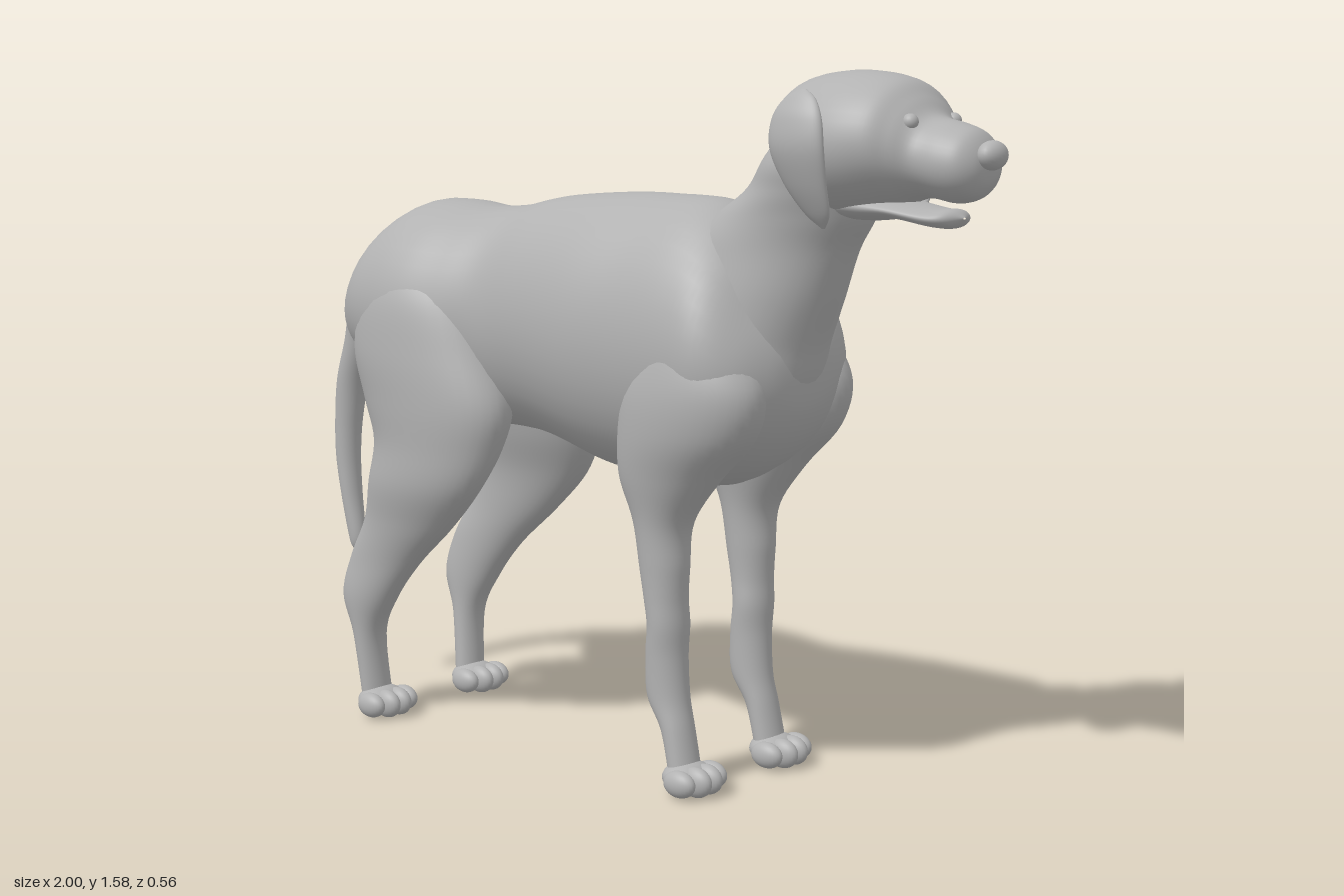
import * as THREE from 'three';

const coat = new THREE.MeshStandardMaterial({ color: 0xb2b2b2 });
coat.name = 'grey coat';

const RADIAL = 40, STEPS = 6;

// Smooth curve through four neighbouring values
function spline(a, b, c, d, t) {
  return 0.5 * (2 * b + (c - a) * t + (2 * a - 5 * b + 4 * c - d) * t * t + (3 * b - a - 3 * c + d) * t * t * t);
}

// Skin of elliptical rings. Each row is [position, low, high, zCentre, zHalfWidth].
// axis 'x': rings stand upright, listed back to front. axis 'y': rings lie flat, listed downward.
function loft(name, axis, rows, side = 1) {
  const pos = [], index = [], last = rows.length - 1, rings = last * STEPS;
  for (let i = 0; i <= rings; i++) {
    const k = Math.min(Math.floor(i / STEPS), last - 1), t = i / STEPS - k;
    const row = (n) => rows[Math.min(Math.max(n, 0), last)];
    const [p, lo, hi, z, w] = rows[0].map((_, c) => spline(row(k - 1)[c], row(k)[c], row(k + 1)[c], row(k + 2)[c], t));
    const mid = (lo + hi) / 2, r = Math.max(0, (hi - lo) / 2);
    for (let j = 0; j < RADIAL; j++) {
      const a = (j / RADIAL) * Math.PI * 2;
      const u = mid + r * Math.cos(a), v = z * side + Math.max(0, w) * Math.sin(a);
      if (axis === 'x') pos.push(p, u, v);
      else pos.push(u, p, v);
      if (i < rings) {
        const q = i * RADIAL + j, n = i * RADIAL + (j + 1) % RADIAL;
        index.push(q, n, q + RADIAL, n, n + RADIAL, q + RADIAL);
      }
    }
  }
  const g = new THREE.BufferGeometry();
  g.setAttribute('position', new THREE.Float32BufferAttribute(pos, 3));
  g.setIndex(index);
  g.computeVertexNormals();
  const mesh = new THREE.Mesh(g, coat);
  mesh.name = name;
  return mesh;
}

function ellipsoid(name, x, y, z, rx, ry, rz) {
  const g = new THREE.SphereGeometry(1, 24, 16).scale(rx, ry, rz).translate(x, y, z);
  const mesh = new THREE.Mesh(g, coat);
  mesh.name = name;
  return mesh;
}

// Paw: a pad with four rounded toes
function paw(name, x, z) {
  const group = new THREE.Group();
  group.name = name;
  group.add(ellipsoid('pad', x - 0.015, 0.04, z, 0.052, 0.034, 0.062));
  for (let i = 0; i < 4; i++) {
    const o = i - 1.5, inner = Math.abs(o) < 1;
    group.add(ellipsoid('toe', x + (inner ? 0.025 : 0.008), 0.036, z + o * 0.036, 0.042, inner ? 0.034 : 0.03, 0.023));
  }
  return group;
}

export function createModel() {
  const dog = new THREE.Group();
  dog.name = 'dog';

  dog.add(loft('torso', 'x', [
    [-0.87, 0.96, 0.98, 0, 0.01], [-0.85, 0.92, 1.02, 0, 0.08], [-0.79, 0.865, 1.12, 0, 0.16],
    [-0.7, 0.82, 1.215, 0, 0.225], [-0.6, 0.77, 1.266, 0, 0.255], [-0.5, 0.74, 1.27, 0, 0.26],
    [-0.4, 0.74, 1.26, 0, 0.235], [-0.3, 0.74, 1.266, 0, 0.205], [-0.18, 0.728, 1.29, 0, 0.217],
    [0, 0.683, 1.305, 0, 0.243], [0.15, 0.668, 1.307, 0, 0.243], [0.3, 0.668, 1.295, 0, 0.25],
    [0.4, 0.71, 1.22, 0, 0.25], [0.47, 0.775, 1.1, 0, 0.2], [0.51, 0.85, 1.01, 0, 0.11],
    [0.52, 0.925, 0.93, 0, 0.005],
  ]));

  dog.add(loft('neck', 'y', [
    [1.5, 0.52, 0.66, 0, 0.09], [1.4, 0.44, 0.69, 0, 0.145], [1.33, 0.385, 0.685, 0, 0.142],
    [1.27, 0.29, 0.668, 0, 0.137], [1.2, 0.2, 0.627, 0, 0.142], [1.1, 0.15, 0.587, 0, 0.157],
    [1, 0.15, 0.545, 0, 0.165], [0.9, 0.2, 0.513, 0, 0.155], [0.8, 0.25, 0.44, 0, 0.09],
  ]));

  dog.add(loft('head', 'x', [
    [0.462, 1.44, 1.46, 0, 0.01], [0.485, 1.37, 1.515, 0, 0.095], [0.54, 1.31, 1.56, 0, 0.155],
    [0.62, 1.28, 1.577, 0, 0.18], [0.7, 1.285, 1.576, 0, 0.184], [0.77, 1.305, 1.56, 0, 0.165],
    [0.81, 1.317, 1.525, 0, 0.133], [0.845, 1.32, 1.488, 0, 0.103], [0.9, 1.312, 1.474, 0, 0.095],
    [0.94, 1.322, 1.458, 0, 0.08], [0.963, 1.35, 1.425, 0, 0.047], [0.97, 1.388, 1.392, 0, 0.003],
  ]));
  dog.add(loft('lowerJaw', 'x', [
    [0.62, 1.27, 1.34, 0, 0.08], [0.7, 1.27, 1.33, 0, 0.09], [0.77, 1.275, 1.315, 0, 0.085],
    [0.85, 1.262, 1.302, 0, 0.07], [0.89, 1.262, 1.3, 0, 0.05], [0.91, 1.28, 1.284, 0, 0.004],
  ]));
  dog.add(ellipsoid('nose', 0.973, 1.41, 0, 0.027, 0.03, 0.041));

  dog.add(loft('tail', 'y', [
    [1.08, -0.8, -0.76, 0, 0.03], [1.03, -0.865, -0.76, 0, 0.07], [0.98, -0.922, -0.79, 0, 0.066],
    [0.9, -0.95, -0.84, 0, 0.052], [0.8, -0.985, -0.9, 0, 0.042], [0.7, -0.998, -0.927, 0, 0.036],
    [0.6, -0.998, -0.937, 0, 0.033], [0.5, -0.982, -0.932, 0, 0.029], [0.4, -0.963, -0.917, 0, 0.022],
    [0.365, -0.952, -0.922, 0, 0.015], [0.353, -0.937, -0.933, 0, 0.002],
  ]));

  // Paired parts: left is the first side listed when facing along the nose
  for (const side of [-1, 1]) {
    const label = side < 0 ? 'left' : 'right';

    dog.add(loft(label + 'FrontLeg', 'y', [
      [1.12, 0.31, 0.34, 0.13, 0.015], [1.07, 0.25, 0.41, 0.135, 0.07], [1, 0.2, 0.46, 0.14, 0.1],
      [0.9, 0.15, 0.507, 0.15, 0.113], [0.8, 0.13, 0.48, 0.15, 0.11], [0.7, 0.13, 0.385, 0.15, 0.088],
      [0.6, 0.17, 0.31, 0.15, 0.065], [0.5, 0.187, 0.3, 0.15, 0.056], [0.43, 0.2, 0.296, 0.15, 0.052],
      [0.37, 0.208, 0.298, 0.148, 0.052], [0.3, 0.2, 0.296, 0.147, 0.048], [0.21, 0.203, 0.302, 0.146, 0.046],
      [0.14, 0.247, 0.316, 0.148, 0.043], [0.05, 0.272, 0.335, 0.15, 0.043],
    ], side));
    dog.add(paw(label + 'FrontPaw', 0.328, 0.152 * side));

    dog.add(loft(label + 'HindLeg', 'y', [
      [1.2, -0.56, -0.5, 0.11, 0.015], [1.14, -0.64, -0.42, 0.125, 0.08], [1.05, -0.7, -0.34, 0.14, 0.12],
      [0.92, -0.725, -0.28, 0.15, 0.127], [0.8, -0.688, -0.24, 0.16, 0.116], [0.7, -0.65, -0.262, 0.17, 0.1],
      [0.6, -0.662, -0.315, 0.185, 0.081], [0.5, -0.69, -0.41, 0.18, 0.062], [0.4, -0.748, -0.525, 0.175, 0.052],
      [0.3, -0.778, -0.612, 0.175, 0.05], [0.2, -0.742, -0.667, 0.17, 0.043], [0.05, -0.722, -0.663, 0.16, 0.042],
    ], side));
    dog.add(paw(label + 'HindPaw', -0.662, 0.16 * side));

    dog.add(loft(label + 'Ear', 'y', [
      [1.54, 0.635, 0.65, 0.187, 0.003], [1.52, 0.6, 0.68, 0.195, 0.012], [1.48, 0.578, 0.702, 0.205, 0.021],
      [1.42, 0.576, 0.71, 0.208, 0.024], [1.35, 0.6, 0.706, 0.192, 0.019], [1.29, 0.635, 0.698, 0.169, 0.011],
      [1.258, 0.668, 0.675, 0.153, 0.002],
    ], side));
    dog.add(ellipsoid(label + 'Eye', 0.827, 1.475, 0.076 * side, 0.017, 0.017, 0.017));
  }
  return dog;
}
